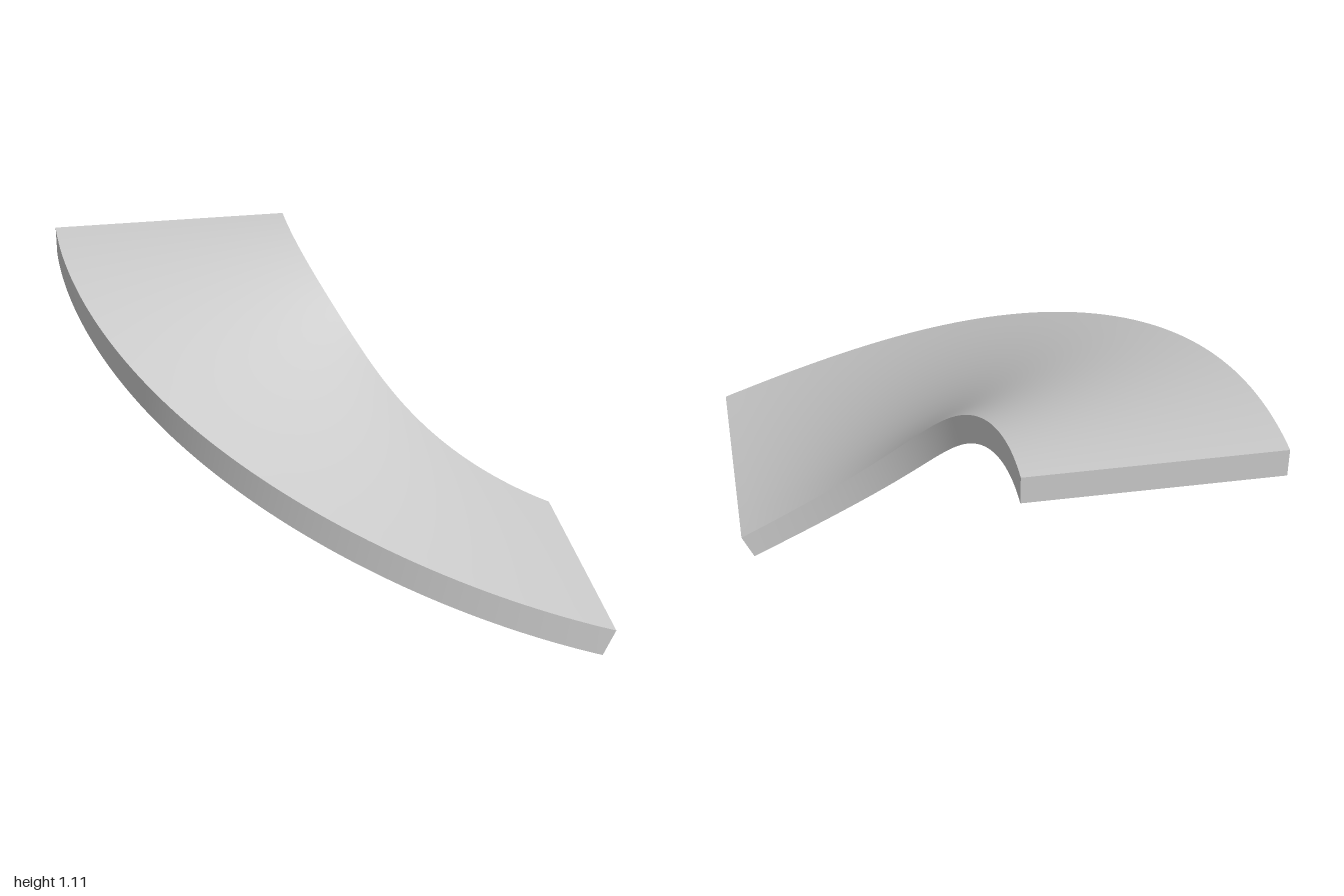
import * as THREE from 'three';

const WIDTH = 1, THICKNESS = 0.12, STEPS = 64;

// Four corners of the slab at t: inner top, outer top, outer bottom, inner bottom
function section(t) {
  const centre = new THREE.Vector3(1 - 3 * t + 1.5 * t * t, 0.113 + 1.3 * t + 0.4 * t * t - 0.7 * t ** 3, 0.5 - 1.5 * t * t);
  const tangent = new THREE.Vector3(-3 + 3 * t, 1.3 + 0.8 * t - 2.1 * t * t, -3 * t).normalize();
  const outward = new THREE.Vector3(-t, 0, 1 - t).normalize();
  const down = new THREE.Vector3().crossVectors(tangent, outward).normalize().multiplyScalar(-THICKNESS);
  const inner = centre.clone().addScaledVector(outward, -WIDTH / 2);
  const outer = centre.clone().addScaledVector(outward, WIDTH / 2);
  return [inner, outer, outer.clone().add(down), inner.clone().add(down)];
}

// Smooth surface swept by the line between two section corners
function strip(name, a, b, cols, material) {
  const points = [], index = [];
  for (let i = 0; i <= STEPS; i++) {
    const s = section(i / STEPS);
    for (let j = 0; j <= cols; j++) points.push(s[a].clone().lerp(s[b], j / cols));
  }
  for (let i = 0; i < STEPS; i++) {
    for (let j = 0; j < cols; j++) {
      const p = i * (cols + 1) + j, q = p + cols + 1;
      index.push(p, q, p + 1, p + 1, q, q + 1);
    }
  }
  return surface(name, points, index, material);
}

function surface(name, points, index, material) {
  const geometry = new THREE.BufferGeometry().setFromPoints(points);
  geometry.setIndex(index);
  geometry.computeVertexNormals();
  const mesh = new THREE.Mesh(geometry, material);
  mesh.name = name;
  return mesh;
}

export function createModel() {
  const group = new THREE.Group();
  group.name = 'curvedRamp';
  const material = new THREE.MeshStandardMaterial({ color: 0xcccccc });
  // Deck, underside and the two curved sides
  group.add(
    strip('deck', 0, 1, 10, material),
    strip('outerSide', 1, 2, 1, material),
    strip('underside', 2, 3, 10, material),
    strip('innerSide', 3, 0, 1, material),
    // Flat ends
    surface('lowerEnd', section(0), [0, 1, 2, 0, 2, 3], material),
    surface('upperEnd', section(1), [0, 2, 1, 0, 3, 2], material),
  );
  return group;
}
